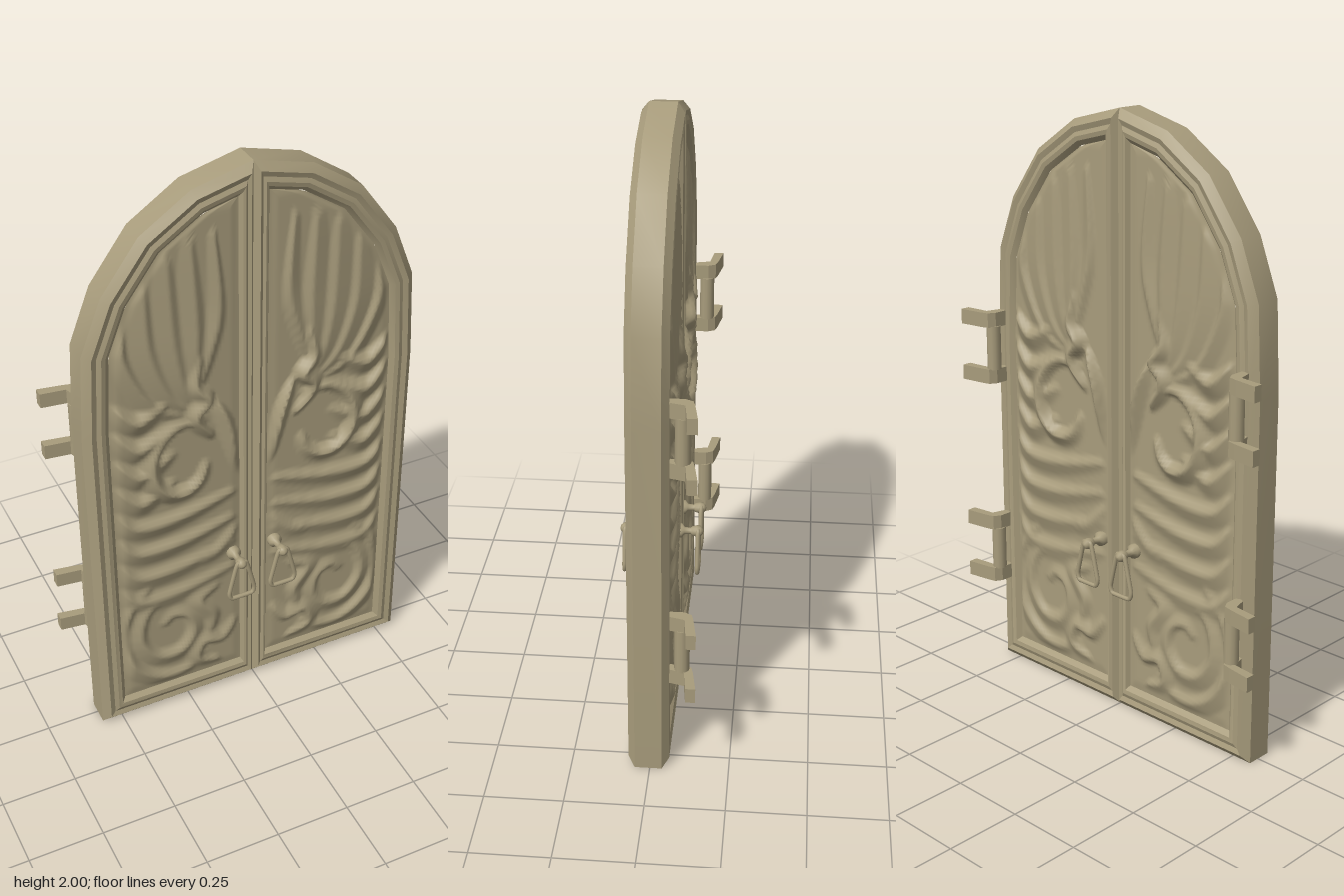
import * as THREE from 'three';
import { mergeVertices, toCreasedNormals } from 'three/addons/utils/BufferGeometryUtils.js';

const V2 = (p) => new THREE.Vector2(p[0], p[1]);

// Half-arch outline of one leaf, counter-clockwise from the bottom of the meeting edge
const OUTLINE = [[0, 0], [0.57, 0], [0.57, 1.2], [0.555, 1.49], [0.485, 1.67], [0.36, 1.84], [0.195, 1.95], [0, 2]].map(V2);

// Moulding section: [inset from outline, half depth]
const SECTION = [[0, 0.043], [0.025, 0.065], [0.042, 0.059], [0.056, 0.065], [0.07, 0.062], [0.085, 0.047]];

// Carved folds as sampled curves with a half width and a height
function carvedFolds() {
  const folds = [];
  const fold = (w, h, ...pts) => folds.push({ w, h, pts: new THREE.SplineCurve(pts.map(V2)).getPoints(28) });
  const scroll = (w, h, cx, cy, r0, r1, a0, a1) => {
    const pts = Array.from({ length: 9 }, (_, i) => {
      const a = THREE.MathUtils.lerp(a0, a1, i / 8), r = THREE.MathUtils.lerp(r0, r1, i / 8);
      return [cx + r * Math.cos(a), cy + 1.15 * r * Math.sin(a)];
    });
    fold(w, h, ...pts);
  };
  // upper plumes fanning out from the crest
  for (let i = 0; i < 5; i++) {
    const k = i / 4;
    fold(0.035 + 0.03 * Math.sin(Math.PI * k), 0.018, [0.13 + 0.3 * k, 1.8 - 0.24 * k * k],
      [0.115 + 0.31 * k, 1.55 - 0.12 * k], [0.15 + 0.19 * k, 1.39 - 0.13 * k], [0.19 + 0.05 * k, 1.27 - 0.07 * k]);
  }
  // crest and curl
  fold(0.04, 0.042, [0.18, 1.4], [0.2, 1.3], [0.16, 1.24], [0.2, 1.18], [0.15, 1.1]);
  fold(0.03, 0.034, [0.13, 1.22], [0.09, 1.12], [0.05, 0.92]);
  scroll(0.04, 0.036, 0.24, 1.01, 0.14, 0.07, 2.0, -2.8);
  // side feathers, shorter beside the curl
  for (let i = 0; i < 8; i++) {
    const y = 1.29 - 0.105 * i, inner = i < 4 ? 0.29 : 0.08;
    const mid = (0.45 + inner) / 2;
    fold(0.045, 0.031 - 0.002 * i, [0.47, y], [0.41, y - 0.06], [mid, y - 0.06], [inner, y - 0.02]);
  }
  // diamond above the pull
  fold(0.035, 0.016, [0.23, 0.59], [0.14, 0.62], [0.06, 0.7]);
  // lower scroll and tail
  scroll(0.04, 0.02, 0.29, 0.33, 0.2, 0.17, 1.1, -2.2);
  scroll(0.04, 0.02, 0.3, 0.33, 0.14, 0.04, 1.8, -5.5);
  fold(0.045, 0.02, [0.14, 0.46], [0.2, 0.42], [0.15, 0.34], [0.17, 0.25]);
  fold(0.04, 0.024, [0.07, 0.28], [0.12, 0.22], [0.19, 0.23], [0.21, 0.16], [0.14, 0.13]);
  return folds;
}
const FOLDS = carvedFolds();

// Offset the outline inwards with mitred corners; the meeting stile is narrower
function insetLoop(d) {
  const n = OUTLINE.length;
  const edge = (i) => {
    const a = OUTLINE[i], b = OUTLINE[(i + 1) % n];
    const dir = b.clone().sub(a).normalize();
    const nor = new THREE.Vector2(-dir.y, dir.x);
    return { dir, p: a.clone().addScaledVector(nor, d * (i === n - 1 ? 0.58 : 1)) };
  };
  return OUTLINE.map((_, i) => {
    const e = edge((i + n - 1) % n), f = edge(i);
    const t = f.p.clone().sub(e.p).cross(f.dir) / e.dir.cross(f.dir);
    return e.p.clone().addScaledVector(e.dir, t);
  });
}

// Frame: moulding section swept round the outline, front to back
function frameGeometry() {
  const rings = [...SECTION].reverse().concat(SECTION.map(([d, z]) => [d, -z]));
  const n = OUTLINE.length, pos = [], idx = [];
  rings.forEach(([d, z]) => insetLoop(d).forEach((p) => pos.push(p.x, p.y, z)));
  for (let r = 0; r < rings.length - 1; r++) {
    for (let i = 0; i < n; i++) {
      const a = r * n + i, b = r * n + (i + 1) % n;
      idx.push(a, a + n, b, b, a + n, b + n);
    }
  }
  const g = new THREE.BufferGeometry();
  g.setAttribute('position', new THREE.Float32BufferAttribute(pos, 3));
  g.setIndex(idx);
  return toCreasedNormals(g, 0.45);
}

// Relief height: each fold slopes gently on one side and drops steeply on the other
function relief(x, y) {
  let best = 0;
  for (const { w, h, pts } of FOLDS) {
    let near = Infinity, side = 1, at = 0;
    for (let i = 0; i < pts.length - 1; i++) {
      const a = pts[i], dx = pts[i + 1].x - a.x, dy = pts[i + 1].y - a.y;
      const t = Math.min(1, Math.max(0, ((x - a.x) * dx + (y - a.y) * dy) / (dx * dx + dy * dy)));
      const d = Math.hypot(x - a.x - dx * t, y - a.y - dy * t);
      if (d < near) {
        near = d;
        side = dx * (y - a.y) - dy * (x - a.x);
        at = (i + t) / (pts.length - 1);
      }
    }
    const taper = 0.45 + 0.55 * Math.sin(Math.PI * at);
    const reach = w * taper * (side > 0 ? 1.3 : 0.6);
    best = Math.max(best, h * taper * (1 - near / reach));
  }
  return best;
}

// Carved panel filling the inside of the frame
function panelGeometry() {
  const loop = insetLoop(0.085), nx = 44, ny = 150;
  const x0 = loop[0].x, y0 = loop[0].y, y1 = loop[loop.length - 1].y;
  const rightAt = (y) => {
    let i = 1;
    while (i < loop.length - 2 && loop[i + 1].y < y) i++;
    return THREE.MathUtils.mapLinear(y, loop[i].y, loop[i + 1].y, loop[i].x, loop[i + 1].x);
  };
  const g = new THREE.PlaneGeometry(1, 1, nx, ny), p = g.attributes.position;
  for (let i = 0; i < p.count; i++) {
    const u = p.getX(i) + 0.5, y = y0 + (p.getY(i) + 0.5) * (y1 - y0);
    const width = Math.max(0.0005, rightAt(y) - x0), x = x0 + u * width;
    const margin = Math.min(u * width, (1 - u) * width, y - y0, y1 - y);
    const fade = THREE.MathUtils.smoothstep(margin, 0, 0.03);
    p.setXYZ(i, x, y, 0.047 + fade * (0.004 + relief(x, y)));
  }
  g.computeVertexNormals();
  return g;
}

// Bent hinge arm in plan, extruded upwards
function hingeArm(y) {
  const plan = [[0.637, 0.152], [0.637, 0.121], [0.555, 0.111], [0.541, 0.06], [0.514, 0.06], [0.514, 0.108], [0.527, 0.132], [0.555, 0.139]];
  const g = new THREE.ExtrudeGeometry(new THREE.Shape(plan.map(V2)), { depth: 0.05, bevelEnabled: false });
  return g.rotateX(-Math.PI / 2).translate(0, y, 0);
}

// Knob stem turned on a lathe, pointing to the front
function knobGeometry() {
  const profile = [[0.024, 0.04], [0.024, 0.066], [0.012, 0.075], [0.01, 0.095], [0.015, 0.1], [0.019, 0.115], [0.016, 0.128], [0.009, 0.135], [0, 0.137]];
  return new THREE.LatheGeometry(profile.map(V2), 12).rotateX(Math.PI / 2).translate(0.076, 0.585, 0);
}

// Hanging pull: a tapered closed loop
function pullGeometry() {
  const pts = [[-0.013, 0.592], [-0.022, 0.57], [-0.045, 0.475], [-0.043, 0.455], [-0.034, 0.446]];
  const loop = pts.concat(pts.map(([x, y]) => [-x, y]).reverse());
  const curve = new THREE.CatmullRomCurve3(loop.map(([x, y]) => new THREE.Vector3(0.076 + x, y, 0.12)), true, 'catmullrom', 0.25);
  return new THREE.TubeGeometry(curve, 60, 0.0075, 8, true);
}

// Mirror across x, keeping faces outward
function mirrorX(geometry) {
  const g = geometry.index ? geometry.clone() : mergeVertices(geometry);
  g.scale(-1, 1, 1);
  const a = g.index.array;
  for (let i = 0; i < a.length; i += 3) [a[i], a[i + 1]] = [a[i + 1], a[i]];
  return g;
}

export function createModel() {
  const model = new THREE.Group();
  model.name = 'archedDoubleDoor';
  const material = new THREE.MeshStandardMaterial({ color: 0xa89c7c });

  const single = [['frame', frameGeometry()]];
  for (const y of [0.315, 1.04]) {
    single.push(['hingeArmLower', hingeArm(y)], ['hingeArmUpper', hingeArm(y + 0.195)]);
    single.push(['hingePin', new THREE.CylinderGeometry(0.024, 0.024, 0.15, 12).translate(0.532, y + 0.1225, -0.103)]);
  }
  const bothFaces = [['Panel', panelGeometry()], ['Knob', knobGeometry()], ['Pull', pullGeometry()]];

  for (const left of [true, false]) {
    const leaf = new THREE.Group();
    leaf.name = left ? 'leftLeaf' : 'rightLeaf';
    const add = (name, g) => {
      const mesh = new THREE.Mesh(g, material);
      mesh.name = name;
      leaf.add(mesh);
    };
    for (const [name, g] of single) add(name, left ? g : mirrorX(g));
    for (const [name, g] of bothFaces) {
      const m = mirrorX(g);
      add('front' + name, left ? g : m);
      // A half turn carries the opposite leaf's front onto this leaf's back
      add('back' + name, (left ? m : g).clone().rotateY(Math.PI));
    }
    model.add(leaf);
  }
  model.position.z = 0.005;
  return model;
}
